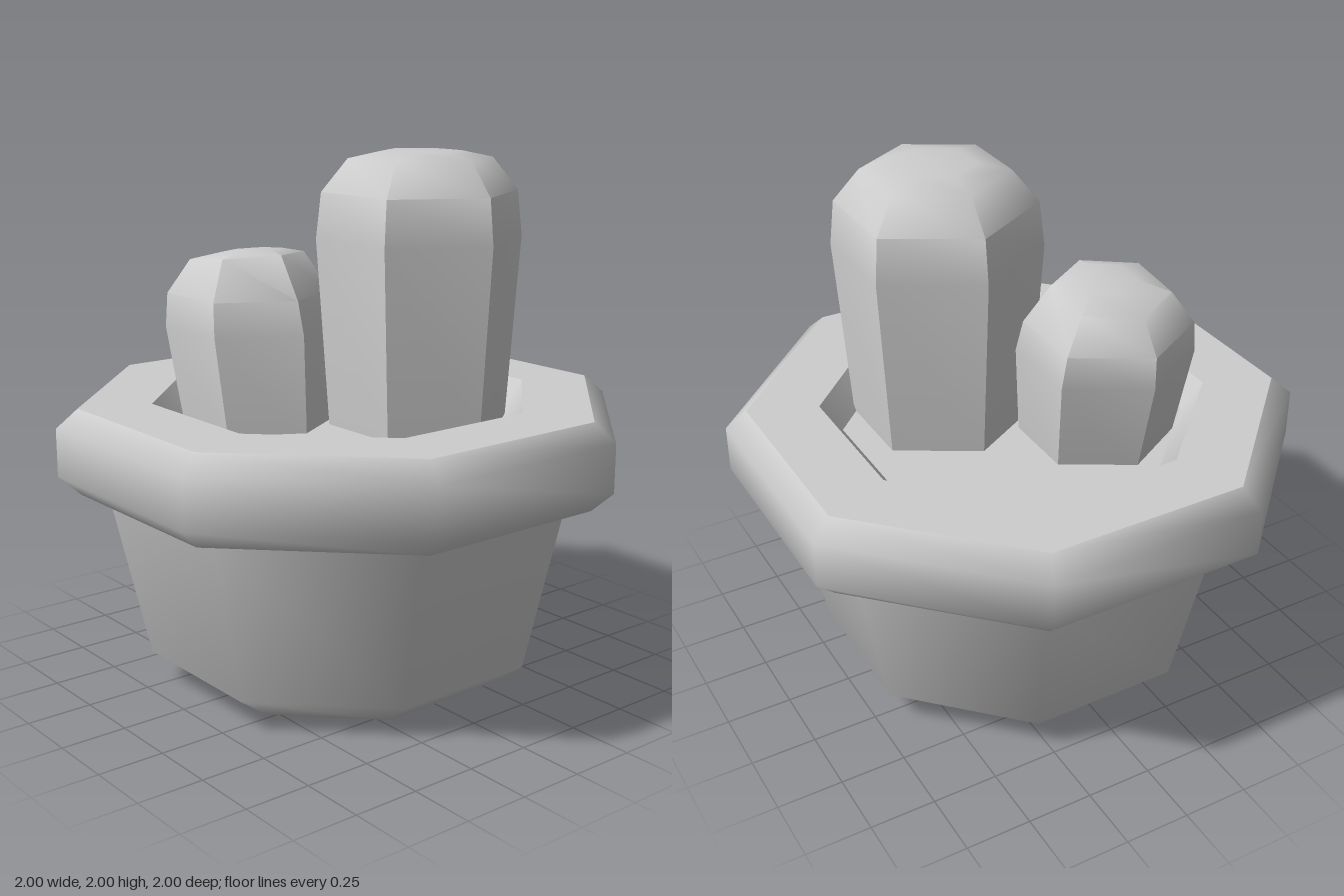
import * as THREE from 'three';
import { toCreasedNormals } from 'three/addons/utils/BufferGeometryUtils.js';

const grey = new THREE.MeshStandardMaterial({ color: 0xcccccc });
grey.name = 'plain grey';

// Octagonal ring or shell from [apothem, y] pairs, smooth along its profile
function octagon(name, profile) {
  const k = 1 / Math.cos(Math.PI / 8);
  const points = profile.map(([a, y]) => new THREE.Vector2(a * k, y));
  const mesh = new THREE.Mesh(new THREE.LatheGeometry(points, 8, Math.PI / 8), grey);
  mesh.name = name;
  return mesh;
}

// Six-sided stem from rings of [y, radius, centre x, slope across x]
function cactus(name, z, rings) {
  const points = rings.map(([y, r]) => new THREE.Vector2(r, y));
  const geo = new THREE.LatheGeometry(points, 6, Math.PI / 2);
  const pos = geo.attributes.position;
  for (let i = 0; i < pos.count; i++) {
    const [y, , cx, slope] = rings[i % rings.length];
    const x = pos.getX(i);
    pos.setXYZ(i, x + cx, y + slope * x, pos.getZ(i) + z);
  }
  const mesh = new THREE.Mesh(toCreasedNormals(geo, 0.9), grey);
  mesh.name = name;
  return mesh;
}

export function createModel() {
  const model = new THREE.Group();
  model.name = 'pottedCacti';

  // Pot, each piece ending at a hard edge
  model.add(
    octagon('potBody', [[0, 0], [0.54, 0], [0.7, 0.12], [0.835, 0.765]]),
    octagon('rimUnderside', [[0.835, 0.765], [0.925, 0.765]]),
    octagon('rimSide', [[0.925, 0.765], [1, 0.84], [1, 1.02], [0.925, 1.09]]),
    octagon('rimTop', [[0.925, 1.09], [0.675, 1.09]]),
    octagon('rimInnerWall', [[0.675, 1.09], [0.6, 0.98]]),
    octagon('soil', [[0.6, 0.98], [0, 0.98]]),
  );

  // Tall upright cactus
  model.add(cactus('tallCactus', -0.205, [
    [0.92, 0.335, 0.197, 0], [1.68, 0.387, 0.197, 0], [1.85, 0.368, 0.197, 0],
    [1.97, 0.27, 0.197, 0], [1.995, 0.15, 0.197, 0], [2, 0, 0.197, 0],
  ]));

  // Short cactus, leaning to its right
  model.add(cactus('shortCactus', 0.238, [
    [0.92, 0.285, -0.2, 0], [1.34, 0.325, -0.255, 0], [1.465, 0.307, -0.272, 0],
    [1.6, 0.215, -0.28, 0.1], [1.625, 0.11, -0.24, 0.08], [1.635, 0, -0.22, 0],
  ]));

  return model;
}
